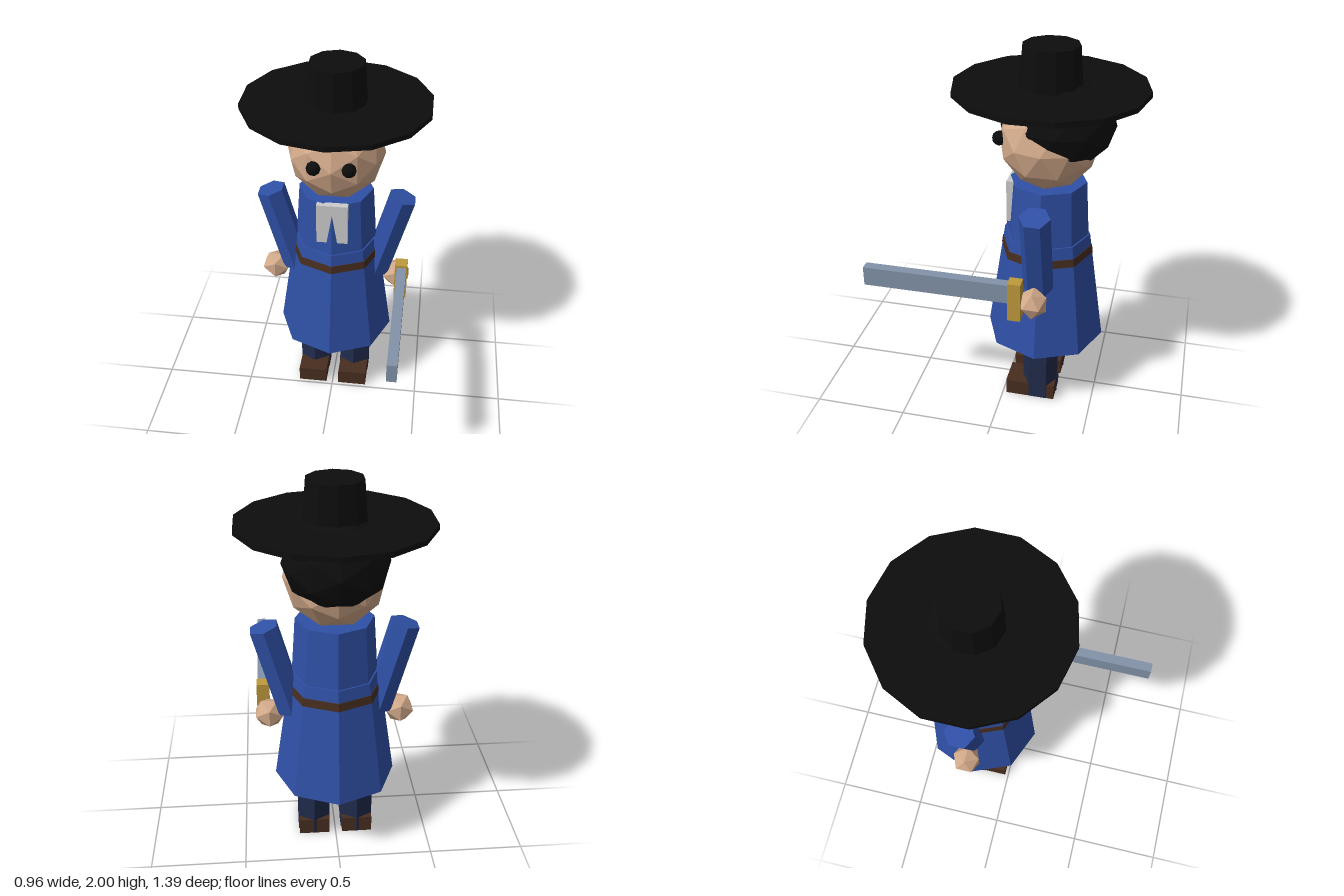
import * as THREE from 'three';

const mat = (name, color) => new THREE.MeshStandardMaterial({ name, color, flatShading: true });

export function createModel() {
  const black = mat('black', 0x0d0d0d);
  const skin = mat('skin', 0xd2a98a);
  const blue = mat('coat blue', 0x2f50a6);
  const navy = mat('trouser navy', 0x202b4c);
  const brown = mat('leather brown', 0x472d1f);
  const white = mat('cravat white', 0xcccccc);
  const gold = mat('brass', 0xbf9a3c);
  const steel = mat('steel', 0x8292a8);

  const model = new THREE.Group();
  model.name = 'swordsman';
  const Z = -0.2; // body axis

  const add = (name, geometry, material, x, y, z) => {
    const mesh = new THREE.Mesh(geometry, material);
    mesh.name = name;
    mesh.position.set(x, y, z);
    model.add(mesh);
    return mesh;
  };
  // upright prism between two heights
  const prism = (name, material, rTop, rBottom, y0, y1, sides, x = 0) =>
    add(name, new THREE.CylinderGeometry(rTop, rBottom, y1 - y0, sides), material, x, (y0 + y1) / 2, Z);
  // box given by its limits
  const box = (name, material, [x0, x1], [y0, y1], [z0, z1]) =>
    add(name, new THREE.BoxGeometry(x1 - x0, y1 - y0, z1 - z0), material,
      (x0 + x1) / 2, (y0 + y1) / 2, (z0 + z1) / 2);

  // Hat
  prism('hatBrim', black, 0.493, 0.493, 1.77, 1.797, 14);
  prism('hatCrown', black, 0.143, 0.16, 1.78, 2, 10);

  // Head, with the hair as a flattened ball set back over it
  add('head', new THREE.IcosahedronGeometry(0.258, 1), skin, 0, 1.515, Z);
  add('hair', new THREE.IcosahedronGeometry(0.265, 1), black, 0, 1.612, -0.27).scale.y = 0.85;

  // Coat
  prism('coatTop', blue, 0.201, 0.222, 0.98, 1.29, 8);
  prism('coatSkirt', blue, 0.23, 0.322, 0.365, 0.99, 8);
  prism('belt', brown, 0.243, 0.249, 0.882, 0.925, 8);
  box('cravat', white, [-0.083, 0.083], [1.06, 1.29], [-0.032, 0.005]);

  // Paired parts
  for (const [side, s] of [['left', 1], ['right', -1]]) {
    add(side + 'Eye', new THREE.IcosahedronGeometry(0.038, 1), black, s * 0.09, 1.53, 0.037);
    const arm = add(side + 'Arm', new THREE.CylinderGeometry(0.08, 0.08, 0.5, 6), blue, s * 0.292, 1.007, Z);
    arm.rotation.z = -s * 0.27;
    add(side + 'Hand', new THREE.IcosahedronGeometry(0.083, 0), skin, s * 0.344, 0.742, Z + 0.005);
    prism(side + 'Leg', navy, 0.0985, 0.0985, 0.002, 0.5, 6, s * 0.118);
    const x = s * 0.118;
    box(side + 'Boot', brown, [x - 0.082, x + 0.082], [0, 0.09], [-0.293, -0.02]);
  }

  // Sword in the left hand, pointing forward
  box('swordGuard', gold, [0.34, 0.408], [0.66, 0.88], [-0.143, -0.074]);
  box('swordBlade', steel, [0.35, 0.402], [0.76, 0.866], [-0.1, 0.698]);

  return model;
}
